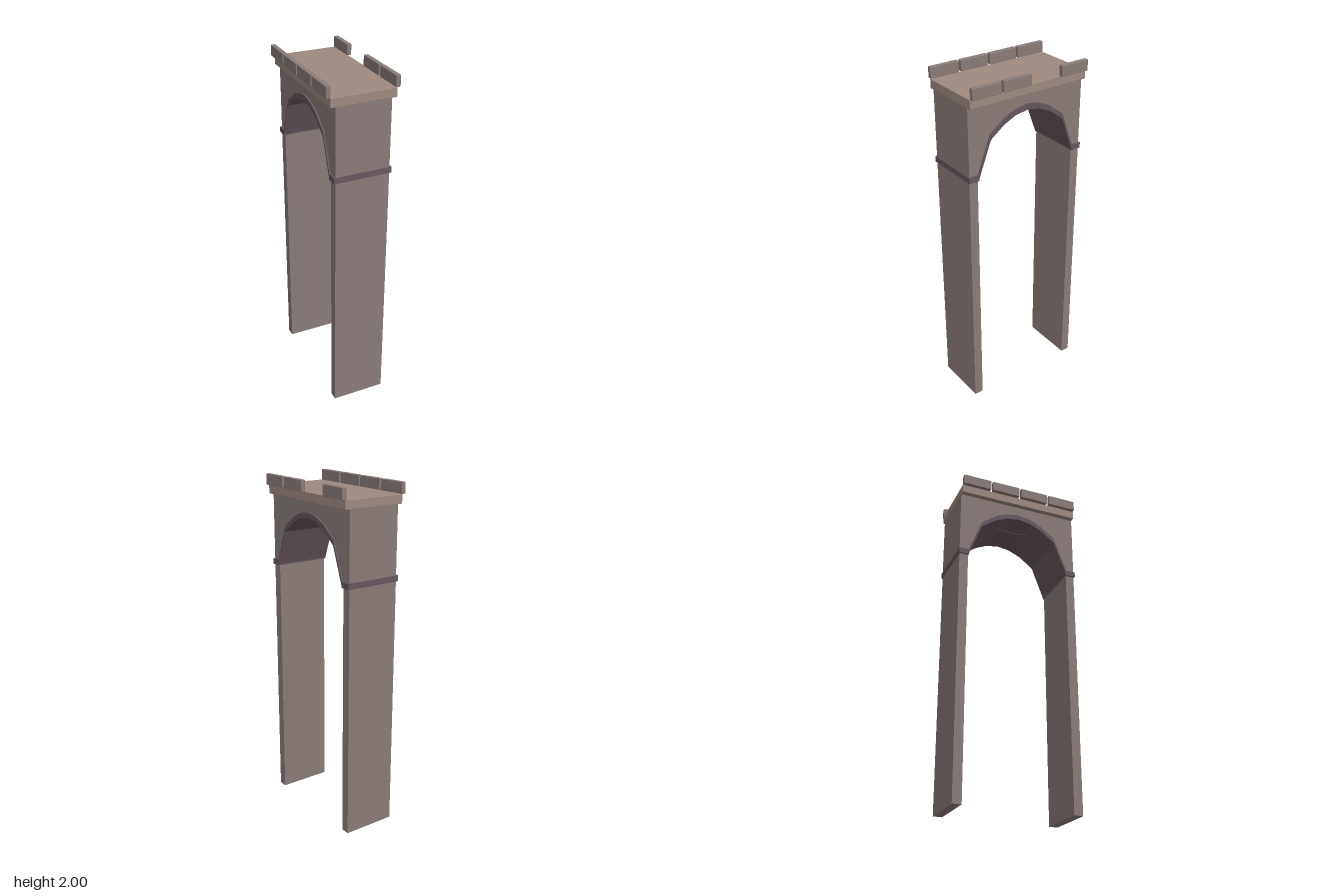
import * as THREE from 'three';
import { RoundedBoxGeometry } from 'three/addons/geometries/RoundedBoxGeometry.js';

const stone = new THREE.MeshStandardMaterial({ color: 0x8a7c79, flatShading: true });
const slab = new THREE.MeshStandardMaterial({ color: 0x9d8a80, flatShading: true });
const trim = new THREE.MeshStandardMaterial({ color: 0x66575e, flatShading: true });

// Half profiles of the arch as [z, y], from the springing to the crown
const outerArch = [[0.322, 1.49], [0.238, 1.713], [0.14, 1.785], [0.074, 1.812], [0, 1.825]];
const innerArch = [[0.316, 1.475], [0.238, 1.682], [0.155, 1.745], [0.08, 1.78], [0, 1.793]];

// Mirror a half profile into a full arch running from +z to -z
function fullArch(half) {
  const mirrored = half.slice(0, -1).reverse().map(([z, y]) => [-z, y]);
  return [...half, ...mirrored].map(([z, y]) => new THREE.Vector2(z, y));
}

// Extrude a (z, y) outline across x, centred on x = 0
function extrudeAcross(points, width) {
  const geometry = new THREE.ExtrudeGeometry(new THREE.Shape(points), { depth: width, bevelEnabled: false });
  geometry.translate(0, 0, -width / 2);
  geometry.rotateY(-Math.PI / 2);
  return geometry;
}

export function createModel() {
  const model = new THREE.Group();
  model.name = 'archway';

  function add(name, geometry, material, x = 0, y = 0, z = 0) {
    const mesh = new THREE.Mesh(geometry, material);
    mesh.name = name;
    mesh.position.set(x, y, z);
    model.add(mesh);
    return mesh;
  }

  // Tall slab legs with a dark band at the springing
  for (const side of [1, -1]) {
    const name = side > 0 ? 'front' : 'back';
    add(name + 'Leg', new THREE.BoxGeometry(0.314, 1.48, 0.053), stone, 0, 0.74, side * 0.3445);
    add(name + 'Band', new THREE.BoxGeometry(0.334, 0.033, 0.061), trim, 0, 1.4865, side * 0.3455);
  }

  // Upper wall cut out by the arch
  const wall = [
    new THREE.Vector2(-0.371, 1.48), new THREE.Vector2(-0.371, 1.89),
    new THREE.Vector2(0.371, 1.89), new THREE.Vector2(0.371, 1.48),
    ...fullArch(outerArch),
  ];
  add('archWall', extrudeAcross(wall, 0.314), stone);

  // Dark lining that follows the arch and stands proud of the wall
  const lining = [...fullArch(outerArch), ...fullArch(innerArch).reverse()];
  add('archLining', extrudeAcross(lining, 0.334), trim);

  // Thin line sagging under the crown
  const sag = new THREE.QuadraticBezierCurve3(
    new THREE.Vector3(0, 1.775, 0.12), new THREE.Vector3(0, 1.746, 0), new THREE.Vector3(0, 1.775, -0.12));
  add('hangingLine', new THREE.TubeGeometry(sag, 12, 0.0025, 5), trim, -0.06);

  // Deck slab
  add('deck', new RoundedBoxGeometry(0.372, 0.052, 0.744, 1, 0.003), slab, 0, 1.912, 0);

  // Parapet blocks, with one missing on the left side
  const block = new RoundedBoxGeometry(0.026, 0.063, 0.176, 1, 0.003);
  [0.281, 0.0925, -0.095, -0.283].forEach((z, i) => {
    add('rightParapet' + (i + 1), block, stone, -0.194, 1.9685, z);
    if (i !== 2) add('leftParapet' + (i + 1), block, stone, 0.192, 1.9685, z);
  });

  return model;
}
